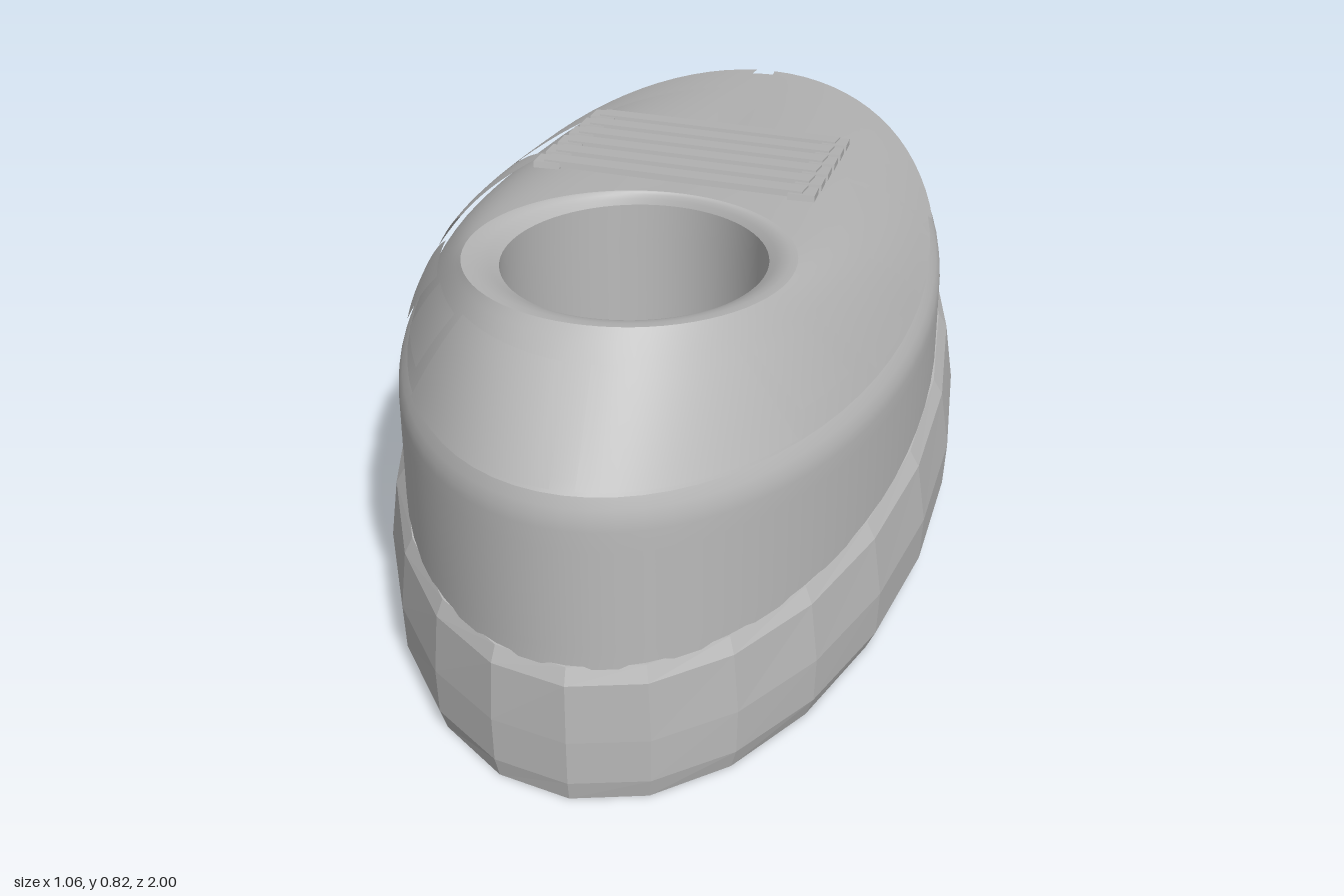
import * as THREE from 'three';

const material = new THREE.MeshStandardMaterial({ color: 0xbababa, side: THREE.DoubleSide });
material.name = 'plain grey';

const rad = THREE.MathUtils.degToRad;
const lerp = THREE.MathUtils.lerp;

// Surface from a rule f(u, v) -> [x, y, z]; u may wrap round into a closed ring
function loft(f, nu, nv, closed) {
  const pos = [], index = [], cols = closed ? nu : nu + 1;
  for (let j = 0; j <= nv; j++)
    for (let i = 0; i < cols; i++) pos.push(...f(i / nu, j / nv));
  for (let j = 0; j < nv; j++)
    for (let i = 0; i < nu; i++) {
      const a = j * cols + i, b = j * cols + (i + 1) % cols;
      index.push(a, a + cols, b, b, a + cols, b + cols);
    }
  const g = new THREE.BufferGeometry();
  g.setAttribute('position', new THREE.Float32BufferAttribute(pos, 3));
  g.setIndex(index);
  g.computeVertexNormals();
  return g;
}

// Point on an ellipse: half width a, z centre c, half length b
const ellipse = (th, a, c, b) => [a * Math.cos(th), c + b * Math.sin(th)];

// Height of the ridge round the shoe, low at the toe and rising to the heel
const ridgeY = z => 0.468 + 0.142 * Math.pow(Math.max(0, (z + 0.5) / 1.47), 1.5);
const collarY = z => 0.72 + 0.154 * (z - 0.15);

function ridge(th) {
  const [x, z] = ellipse(th, 0.468, 0.018, 0.95);
  return [x, ridgeY(z), z];
}
function collar(th) {
  const [x, z] = ellipse(th, 0.285, 0.475, 0.325);
  return [x, collarY(z), z];
}
// Sloping upper between ridge (t = 0) and collar (t = 1), lifted by off
function upper(th, t, off = 0) {
  const r = ridge(th), c = collar(th);
  const p = r.map((v, k) => lerp(v, c[k], t));
  p[1] += 0.1 * t * (1 - t) * Math.abs(Math.cos(th)) + off;
  p[0] += off * Math.cos(th);
  p[2] += off * Math.sin(th) * 0.6;
  return p;
}

export function createModel() {
  const model = new THREE.Group();
  model.name = 'shoe';
  const add = (name, geometry) => {
    const m = new THREE.Mesh(geometry, material);
    m.name = name;
    model.add(m);
    return m;
  };

  // Faceted sole with closed top and bottom
  const soleRings = [
    [0, 0, 0], [0.505, 0.99, 0], [0.525, 0.998, 0.04], [0.53, 1, 0.13],
    [0.513, 0.998, 0.25], [0.495, 0.985, 0.28], [0, 0, 0.28],
  ];
  const sole = loft((u, v) => {
    const [a, b, y] = soleRings[Math.round(v * 6)];
    const [x, z] = ellipse(u * Math.PI * 2, a, 0, b);
    return [x, y, z];
  }, 24, 6, true).toNonIndexed();
  sole.computeVertexNormals();
  add('sole', sole);

  // Upright wall, turning in slightly to the ridge
  add('sideWall', loft((u, v) => {
    const th = u * Math.PI * 2;
    const r = ridge(th);
    const k = Math.min(1, v / 0.7);
    const [x, z] = ellipse(th, 0.49, 0.013, 0.967);
    const low = [x, lerp(0.27, r[1] - 0.06, k), z];
    const s = Math.max(0, (v - 0.7) / 0.3);
    return low.map((p, i) => lerp(p, r[i], i === 1 ? s : s * s));
  }, 72, 10, true));

  // Sloping upper
  add('upper', loft((u, v) => upper(u * Math.PI * 2, v), 72, 10, true));

  // Rounded collar rim
  add('collarRim', loft((u, v) => {
    const th = u * Math.PI * 2, c = collar(th);
    const [x, z] = ellipse(th, 0.23, 0.44, 0.28);
    return [lerp(c[0], x, v), collarY(lerp(c[2], z, v)) - 0.025 * v * v, lerp(c[2], z, v)];
  }, 72, 4, true));

  // Foot opening: inner wall and insole
  const floorY = 0.42;
  add('innerWall', loft((u, v) => {
    const [x, z] = ellipse(u * Math.PI * 2, 0.23, 0.44, 0.28);
    return [x, lerp(collarY(z) - 0.025, floorY, v), z];
  }, 72, 4, true));
  const insole = add('insole', new THREE.CircleGeometry(1, 72).rotateX(-Math.PI / 2));
  insole.scale.set(0.23, 1, 0.28);
  insole.position.set(0, floorY, 0.44);

  // Thin overlay panels: bottom angles, top angles, t range at each end
  const panels = [
    ['toePanel', -87.5, -18, -86, -22, 0.01, 0.2, 0.27],
    ['sidePanel', -13, 4, -38, -3, 0.05, 0.55, 0.6],
    ['quarterPanel', 12, 25, 9, 26, 0.05, 0.66, 0.66],
    ['rearQuarterPanel', 30, 43, 30, 46, 0.15, 0.7, 0.7],
    ['heelPanel', 46, 87.5, 49, 86.5, 0.01, 0.75, 0.75],
  ];
  for (const [name, b0, b1, t0, t1, low, high0, high1] of panels)
    for (const side of [1, -1])
      add((side > 0 ? 'left ' : 'right ') + name, loft((u, v) => {
        const th = rad(lerp(lerp(b0, b1, u), lerp(t0, t1, u), v));
        const p = upper(th, lerp(low, lerp(high0, high1, u), v), 0.009);
        return [side * p[0], p[1], p[2]];
      }, 16, 6, false));

  // Flat laces stepping down the tongue, with a small tab at each end
  for (let i = 0; i < 6; i++) {
    const z = 0.105 - i * 0.089;
    const lace = new THREE.Group();
    lace.name = 'lace';
    const strip = new THREE.Mesh(new THREE.BoxGeometry(0.5, 0.012, 0.045), material);
    strip.name = 'laceStrip';
    strip.rotation.y = -0.11;
    lace.add(strip);
    for (const side of [1, -1]) {
      const tab = new THREE.Mesh(new THREE.BoxGeometry(0.05, 0.012, 0.055), material);
      tab.name = 'laceTab';
      tab.position.set(side * 0.245, -0.004, side * 0.028);
      lace.add(tab);
    }
    lace.position.set(0, 0.732 - i * 0.0235, z);
    lace.rotation.x = -0.2;
    model.add(lace);
  }
  return model;
}
